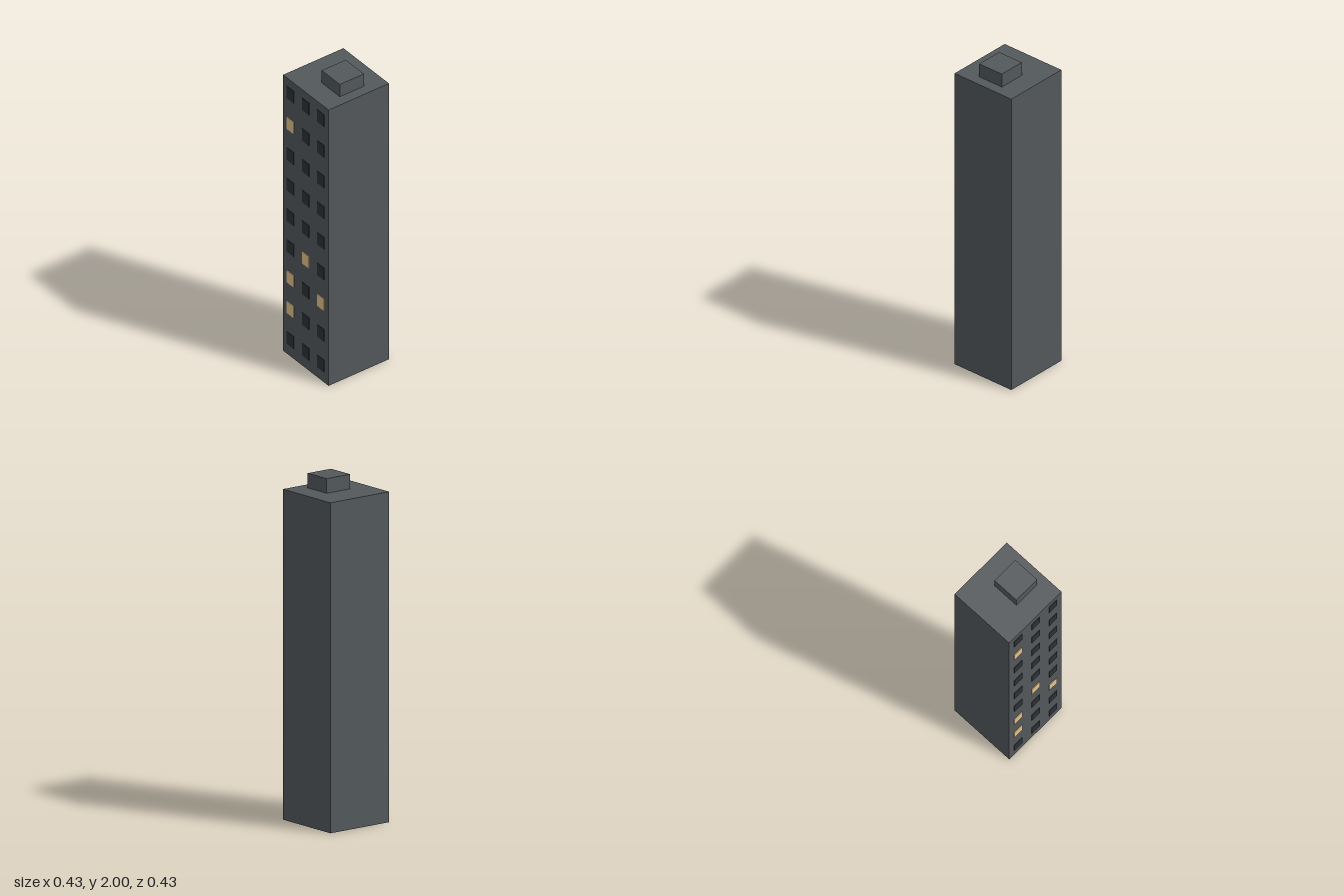
import * as THREE from 'three';

const WIDTH = 0.426, HEIGHT = 1.915, BACK = -0.216, FRONT = 0.21;

function box(name, size, position, material) {
  const mesh = new THREE.Mesh(new THREE.BoxGeometry(...size), material);
  mesh.name = name;
  mesh.position.set(...position);
  return mesh;
}

export function createModel() {
  const group = new THREE.Group();
  group.name = 'towerBlock';

  const wall = new THREE.MeshStandardMaterial({ color: 0x53585b });
  const darkGlass = new THREE.MeshStandardMaterial({ color: 0x2d3235 });
  const litGlass = new THREE.MeshStandardMaterial({ color: 0xe3c38c });

  // Main tower and the off-centre roof housing
  group.add(box('tower', [WIDTH, HEIGHT, FRONT - BACK], [0, HEIGHT / 2, (FRONT + BACK) / 2], wall));
  group.add(box('roofHousing', [0.17, 2 - HEIGHT, 0.17], [0.064, (2 + HEIGHT) / 2, -0.003], wall));

  // Nine floors of three slightly raised windows; a few are lit (floor,column)
  const lit = new Set(['1,0', '2,0', '2,2', '3,1', '7,0']);
  const windows = new THREE.Group();
  windows.name = 'windows';
  for (let floor = 0; floor < 9; floor++) {
    for (let column = 0; column < 3; column++) {
      const isLit = lit.has(`${floor},${column}`);
      windows.add(box(
        isLit ? 'litWindow' : 'darkWindow',
        [0.064, 0.083, 0.008],
        [(column - 1) * 0.142, 0.114 + floor * 0.213, FRONT],
        isLit ? litGlass : darkGlass,
      ));
    }
  }
  group.add(windows);

  return group;
}
